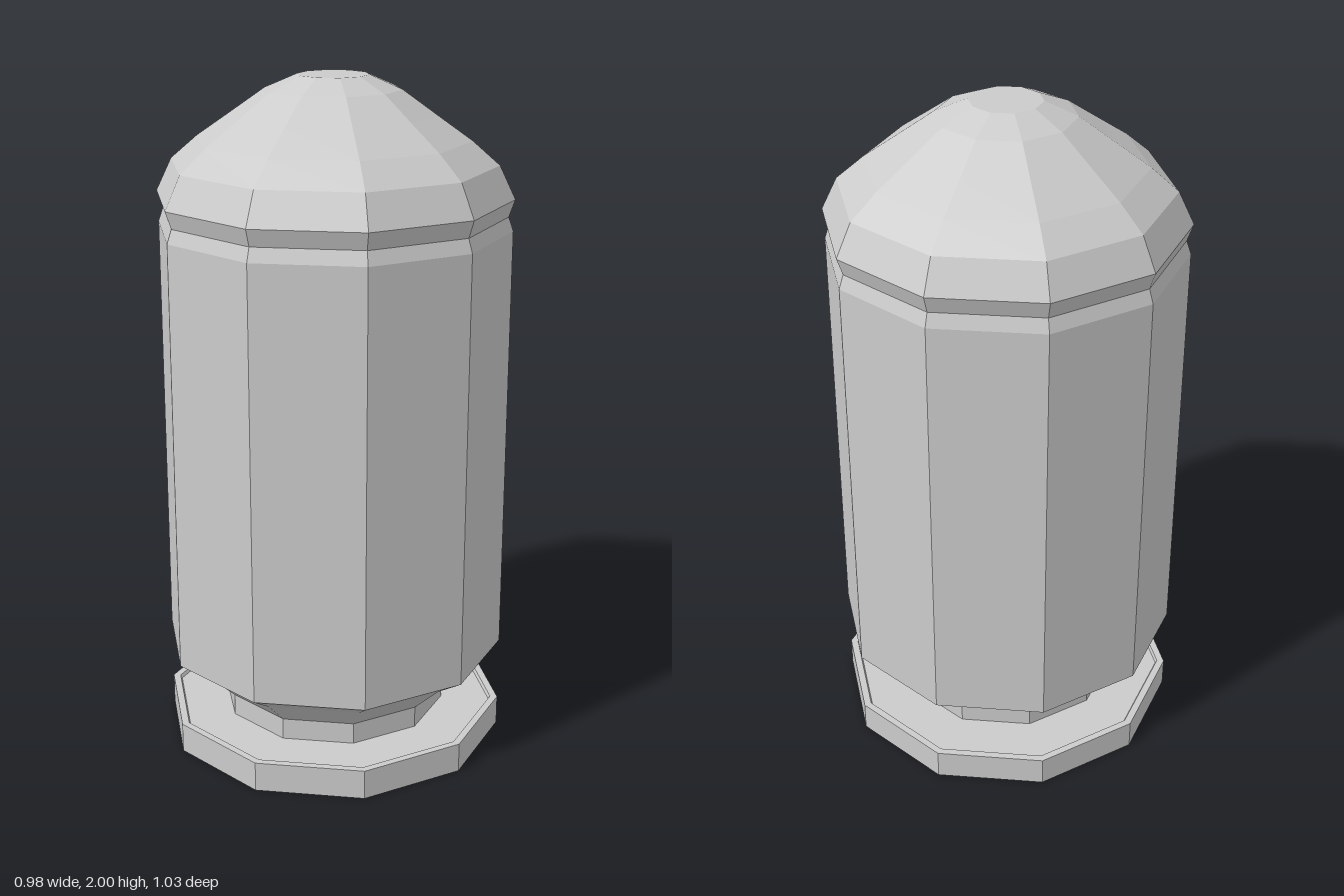
import * as THREE from 'three';

const SIDES = 10;

export function createModel() {
  const group = new THREE.Group();
  const material = new THREE.MeshStandardMaterial({
    color: 0xcccccc, flatShading: true, side: THREE.DoubleSide,
  });

  // Ten-sided turned part from [radius, height] pairs, listed bottom to top
  function turned(name, profile) {
    const points = profile.map(([r, y]) => new THREE.Vector2(r, y));
    const mesh = new THREE.Mesh(new THREE.LatheGeometry(points, SIDES), material);
    mesh.name = name;
    group.add(mesh);
  }

  // Base plate with a shallow recess inside its lip
  turned('baseRim', [[0, 0], [0.517, 0], [0.517, 0.09], [0.495, 0.09], [0.49, 0.08], [0.342, 0.08]]);

  // Narrow groove above the base
  turned('grooveNeck', [[0.342, 0.08], [0.342, 0.145]]);

  // Flared foot, long straight wall and rolled-in mouth
  turned('caseBody', [
    [0.342, 0.145], [0.43, 0.23], [0.517, 0.287], [0.514, 1.57], [0.5, 1.61],
  ]);

  // Rounded tip with a flat top
  turned('domedTip', [
    [0.5, 1.61], [0.517, 1.66], [0.471, 1.755], [0.393, 1.822],
    [0.295, 1.89], [0.195, 1.96], [0.102, 2], [0, 2],
  ]);

  return group;
}
